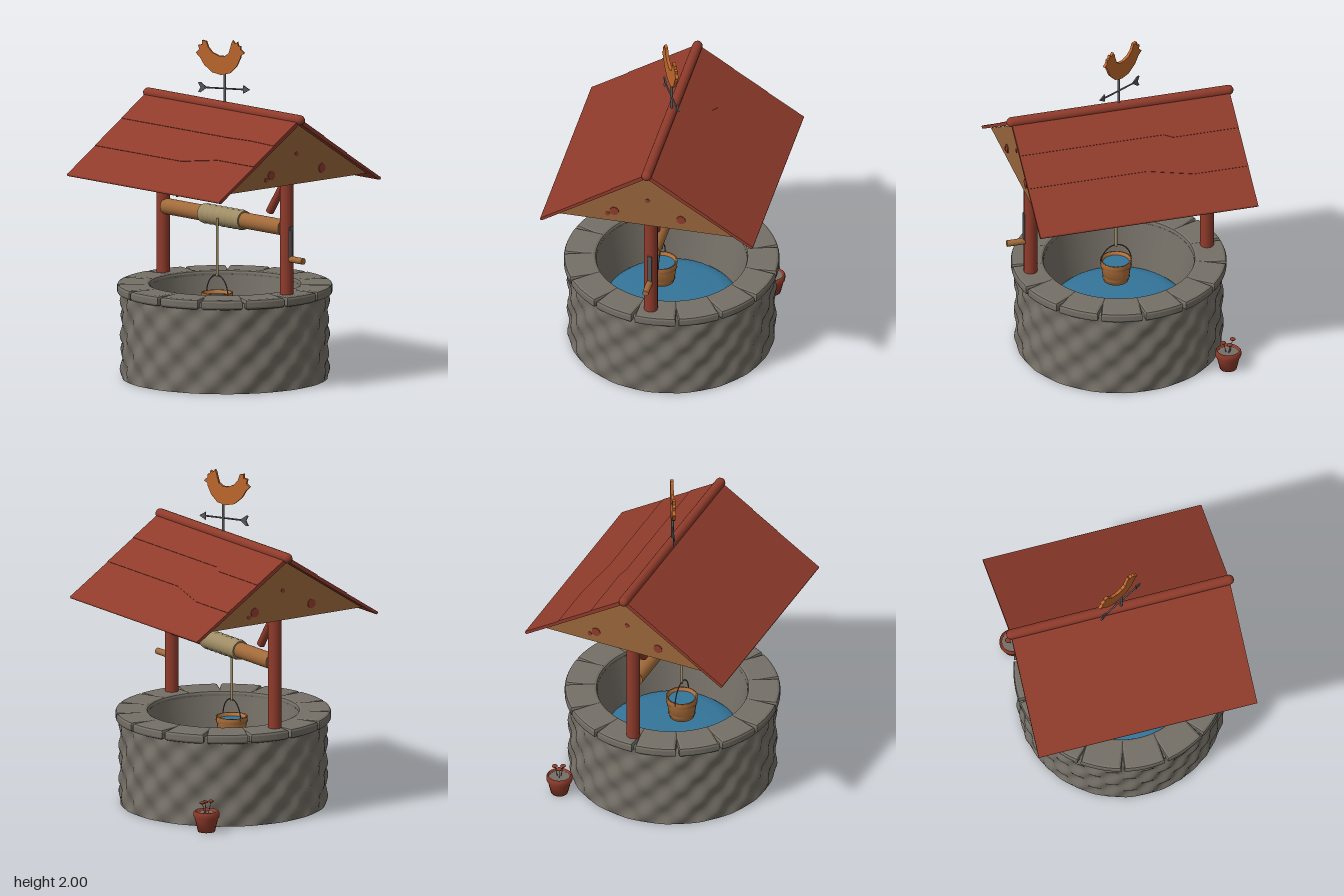
import * as THREE from 'three';
import { mergeVertices } from 'three/addons/utils/BufferGeometryUtils.js';
import { RoundedBoxGeometry } from 'three/addons/geometries/RoundedBoxGeometry.js';

const mat = (name, color, side = THREE.FrontSide) =>
  Object.assign(new THREE.MeshStandardMaterial({ color, side }), { name });
const stone = mat('stone', 0x746f66, THREE.DoubleSide);
const red = mat('red paint', 0x8f3b2b);
const gableWood = mat('gable wood', 0x97653b);
const wood = mat('wood', 0xa16a3a);
const bucketWood = mat('bucket wood', 0xb5743c);
const ropeMat = mat('rope', 0xa08e66);
const metal = mat('metal', 0x58585c);
const water = mat('water', 0x34759a, THREE.DoubleSide);
const copper = mat('copper', 0xbf682d);

const V = (x, y, z) => new THREE.Vector3(x, y, z);

export function createModel() {
  const root = new THREE.Group();
  const add = (name, geo, material, x = 0, y = 0, z = 0, parent = root) => {
    const m = new THREE.Mesh(geo, material);
    m.name = name;
    m.position.set(x, y, z);
    parent.add(m);
    return m;
  };
  // Cylinder running between two points
  const rod = (name, a, b, r, material, parent = root, sides = 20) => {
    const m = add(name, new THREE.CylinderGeometry(r, r, a.distanceTo(b), sides), material, 0, 0, 0, parent);
    m.position.copy(a).lerp(b, 0.5);
    m.quaternion.setFromUnitVectors(V(0, 1, 0), b.clone().sub(a).normalize());
    return m;
  };
  const lathe = (pts, n = 48) => new THREE.LatheGeometry(pts.map(p => new THREE.Vector2(...p)), n);
  const outline = pts => new THREE.Shape(pts.map(p => new THREE.Vector2(...p)));
  const plate = (pts, depth) =>
    new THREE.ExtrudeGeometry(outline(pts), { depth, bevelEnabled: false }).translate(0, 0, -depth / 2);

  // Outer wall with a staggered pattern of bulging stones
  let wall = new THREE.CylinderGeometry(0.6, 0.6, 0.51, 144, 30, true);
  wall.deleteAttribute('uv');
  wall.deleteAttribute('normal');
  wall = mergeVertices(wall);
  const pos = wall.attributes.position;
  for (let i = 0; i < pos.count; i++) {
    const a = Math.atan2(pos.getX(i), pos.getZ(i));
    const r = 0.6 + 0.015 * Math.cos(18 * a) * Math.cos(10 * Math.PI * (pos.getY(i) + 0.2));
    pos.setXYZ(i, r * Math.sin(a), pos.getY(i), r * Math.cos(a));
  }
  wall.computeVertexNormals();
  add('outerWall', wall, stone, 0, 0.255);
  add('innerWall', lathe([[0.44, 0.53], [0.385, 0.25]]), stone);
  add('wallTop', lathe([[0.6, 0.5], [0.6, 0.535], [0.44, 0.535]]), stone);
  add('lowerShell', lathe([[0.6, 0], [0.46, 0.165]]), stone);
  add('lowerLip', lathe([[0.46, 0.165], [0.385, 0.25]]), stone);
  add('wellWater', lathe([[0.385, 0.25], [0.36, 0.272], [0.3, 0.284], [0.15, 0.29], [0, 0.29]]), water);

  // Rim stones, with gaps that open outward
  const N = 15, inner = Math.PI / N * 0.95, outer = Math.PI / N * 0.81;
  const arc = (r, h, dir) => Array.from({ length: 7 }, (_, i) => {
    const a = dir * h * (i / 3 - 1);
    return [r * Math.sin(a), -r * Math.cos(a)];
  });
  const rimGeo = new THREE.ExtrudeGeometry(outline([...arc(0.614, outer, 1), ...arc(0.456, inner, -1)]),
    { depth: 0.028, bevelThickness: 0.016, bevelSize: 0.016, bevelSegments: 2 });
  rimGeo.rotateX(-Math.PI / 2);
  for (let i = 0; i < N; i++) {
    add('rimStone', rimGeo, stone, 0, 0.516).rotation.y = i * 2 * Math.PI / N - 0.035;
  }

  // Posts, braces and roof beams
  for (const s of [-1, 1]) {
    rod('post', V(s * 0.535, 0.5, 0), V(s * 0.535, 1.5, 0), 0.04, red);
    rod('brace', V(s * 0.56, 1.28, 0), V(s * 0.39, 1.03, 0), 0.024, red);
    rod('roofBeam', V(-0.625, 1.295, s * 0.2), V(0.625, 1.295, s * 0.2), 0.027, red);

    // Gable board with knots
    const gable = plate([[-0.555, 1.222], [0.555, 1.222], [0, 1.58]], 0.02).rotateY(Math.PI / 2);
    add('gable', gable, gableWood, s * 0.61);
    for (const [z, y] of [[0, 1.4], [0.24, 1.27]]) {
      add('knot', new THREE.CylinderGeometry(0.014, 0.014, 0.004, 10).rotateZ(Math.PI / 2), red, s * 0.621, y, z * s);
    }
  }

  // Roof slopes: three planks each, divided by crooked seams (x, distance from the ridge)
  const L = 0.742, pitch = Math.atan2(0.41, 0.635);
  const slope = (name, x0, x1, seams, turn) => {
    const g = new THREE.Group();
    g.name = name;
    g.position.y = 1.583;
    g.rotation.y = turn;
    root.add(g);
    const lines = [[[x0, 0], [x1, 0]], ...seams, [[x0, L], [x1, L]]];
    for (let i = 0; i < 3; i++) {
      const pts = [...lines[i + 1], ...[...lines[i]].reverse()].map(([x, d]) => [x, -d]);
      const geo = new THREE.ExtrudeGeometry(outline(pts), { depth: 0.024 - 0.003 * i, bevelEnabled: false });
      add('roofPlank', geo, red, 0, 0, 0, g).rotation.x = pitch - Math.PI / 2;
    }
    // Rounded eave
    const ey = -L * Math.sin(pitch) + 0.008, ez = L * Math.cos(pitch) + 0.005;
    rod('eave', V(x0, ey, ez), V(x1, ey, ez), 0.0095, red, g);
  };
  slope('frontRoof', -0.668, 0.653, [
    [[-0.668, 0.235], [0.25, 0.235], [0.44, 0.228], [0.653, 0.235]],
    [[-0.668, 0.485], [0.08, 0.485], [0.34, 0.425], [0.653, 0.425]]], 0);
  slope('backRoof', -0.653, 0.668, [
    [[-0.653, 0.215], [0.22, 0.215], [0.27, 0.24], [0.668, 0.24]],
    [[-0.653, 0.43], [0.07, 0.43], [0.34, 0.49], [0.668, 0.49]]], Math.PI);
  add('ridgePole', new THREE.CapsuleGeometry(0.03, 1.315, 4, 16).rotateZ(Math.PI / 2), red, -0.007, 1.603);

  // Windlass with wound rope
  rod('windlass', V(-0.51, 0.95, 0), V(0.51, 0.95, 0), 0.047, wood, root, 28);
  rod('axle', V(0.5, 0.95, 0), V(0.58, 0.95, 0), 0.015, metal);
  rod('ropeCoil', V(-0.18, 0.95, 0), V(0.17, 0.95, 0), 0.056, ropeMat, root, 28);
  for (let i = 0; i < 7; i++) {
    add('ropeTurn', new THREE.TorusGeometry(0.048, 0.0125, 8, 28).scale(1, 1, 2).rotateY(Math.PI / 2), ropeMat, -0.155 + i * 0.05, 0.95);
  }
  rod('hangingRope', V(0, 0.6, 0.06), V(0, 0.95, 0.06), 0.008, ropeMat);

  // Crank
  add('crankArm', new RoundedBoxGeometry(0.012, 0.21, 0.028, 2, 0.005), metal, 0.574, 0.86);
  rod('crankHandle', V(0.565, 0.77, 0), V(0.68, 0.77, 0), 0.019, wood);

  // Bucket
  const bucket = new THREE.Group();
  bucket.name = 'bucket';
  bucket.position.set(0, 0.375, 0.06);
  root.add(bucket);
  add('bucketBody', lathe([[0, 0], [0.074, 0], [0.094, 0.135], [0.082, 0.135], [0.078, 0.105]], 20), bucketWood, 0, 0, 0, bucket);
  for (const [y, r] of [[0.03, 0.079], [0.108, 0.0905]]) {
    add('bucketHoop', new THREE.CylinderGeometry(r + 0.004, r + 0.002, 0.016, 20, 1, true), wood, 0, y, 0, bucket);
  }
  add('bucketWater', new THREE.CircleGeometry(0.08, 20).rotateX(-Math.PI / 2), water, 0, 0.115, 0, bucket);
  add('bucketHandle', new THREE.TorusGeometry(0.092, 0.0035, 6, 24, Math.PI).scale(1, 1.27, 1), metal, 0, 0.12, 0, bucket);

  // Weathervane
  const vane = new THREE.Group();
  vane.name = 'weathervane';
  vane.rotation.y = 0.5;
  root.add(vane);
  rod('vanePole', V(0, 1.6, 0), V(0, 1.81, 0), 0.008, metal, vane);
  rod('arrowShaft', V(-0.13, 1.71, 0), V(0.13, 1.71, 0), 0.005, metal, vane);
  add('arrowTip', plate([[0.115, 1.686], [0.155, 1.71], [0.115, 1.734]], 0.009), metal, 0, 0, 0, vane);
  add('arrowTail', plate([[-0.165, 1.68], [-0.15, 1.68], [-0.11, 1.71], [-0.15, 1.74], [-0.165, 1.74], [-0.15, 1.71]], 0.009),
    metal, 0, 0, 0, vane);
  const bird = [[-0.02, 1.79], [0.035, 1.803], [0.075, 1.845], [0.098, 1.895], [0.1, 1.91], [0.122, 1.925],
    [0.1, 1.945], [0.1, 1.965], [0.085, 1.968], [0.08, 1.99], [0.065, 1.98], [0.052, 1.998], [0.042, 1.98],
    [0.036, 1.955], [0.025, 1.92], [0, 1.902], [-0.035, 1.902], [-0.075, 1.92], [-0.1, 1.95], [-0.112, 1.985],
    [-0.138, 1.99], [-0.138, 1.965], [-0.162, 1.96], [-0.155, 1.935], [-0.178, 1.915], [-0.152, 1.89],
    [-0.125, 1.845], [-0.075, 1.803]];
  add('vaneBird', plate(bird, 0.018), copper, 0, 0, 0, vane);

  // Flower pot behind the well
  const pot = new THREE.Group();
  pot.name = 'flowerPot';
  pot.position.set(-0.53, 0, -0.48);
  root.add(pot);
  add('potBody', lathe([[0, 0], [0.05, 0], [0.066, 0.07], [0.076, 0.09], [0.076, 0.115], [0.066, 0.125], [0.06, 0.105]], 20), red, 0, 0, 0, pot);
  add('potSoil', new THREE.CircleGeometry(0.063, 20).rotateX(-Math.PI / 2), stone, 0, 0.108, 0, pot);
  for (const [x, y, z] of [[-0.03, 0.185, 0.012], [0.028, 0.17, 0.01], [0, 0.175, -0.03]]) {
    rod('flowerStem', V(x * 0.4, 0.105, z * 0.4), V(x, y, z), 0.002, metal, pot, 6);
    add('flowerHead', new THREE.SphereGeometry(0.017, 10, 6).scale(1, 0.5, 1), red, x, y, z, pot);
  }
  return root;
}
